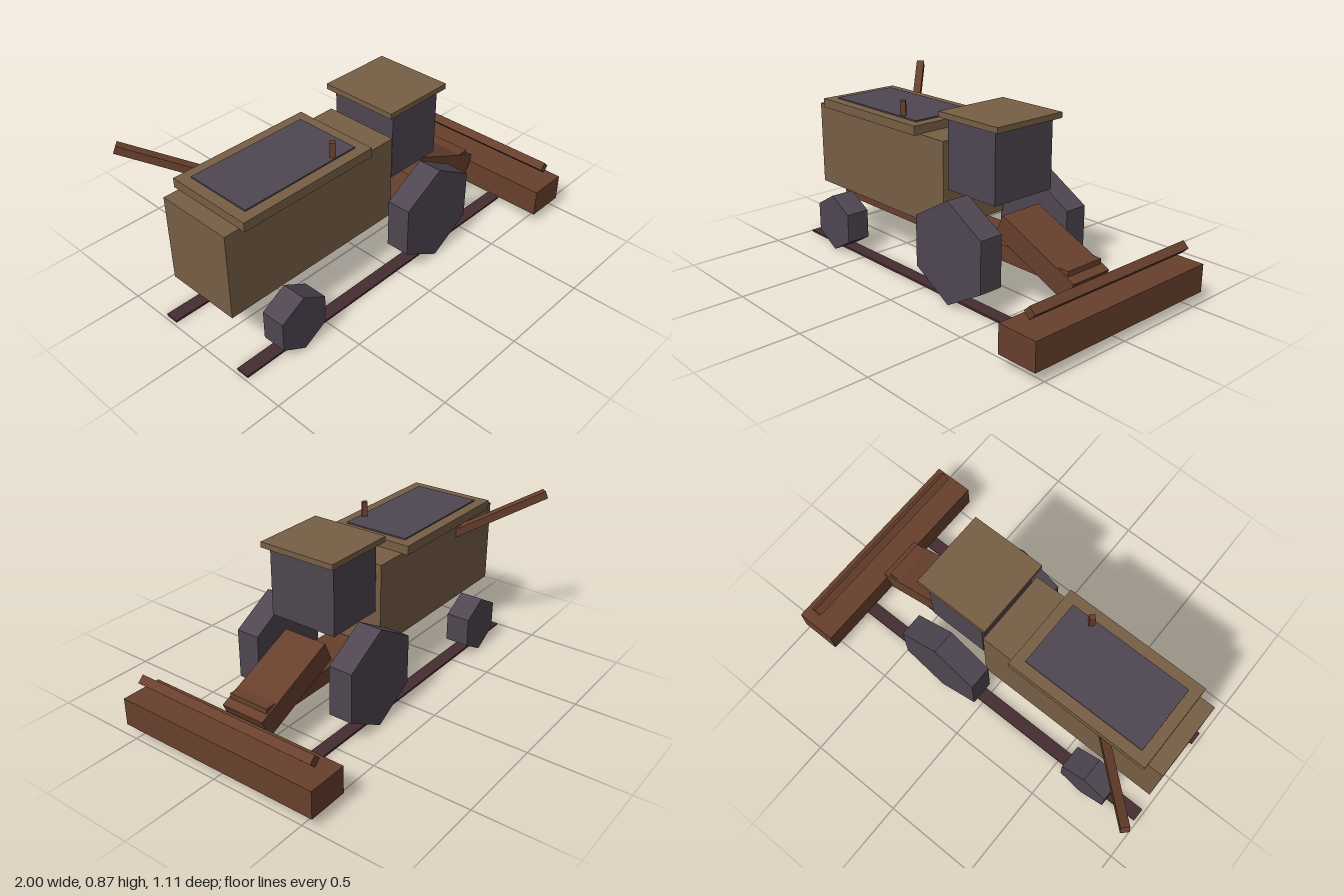
import * as THREE from 'three';

const material = (name, color) => {
  const m = new THREE.MeshStandardMaterial({ color, flatShading: true });
  m.name = name;
  return m;
};

export function createModel() {
  const tan = material('tan', 0x775f45);
  const slate = material('slate', 0x4f4651);
  const rust = material('rust', 0x68402d);
  const darkRail = material('dark rail', 0x462d31);
  const model = new THREE.Group();
  model.name = 'tractor';

  const add = (name, geometry, mat) => {
    const mesh = new THREE.Mesh(geometry, mat);
    mesh.name = name;
    model.add(mesh);
    return mesh;
  };
  // Box given by its extents in x and y and its half width in z
  const box = (name, mat, x0, x1, y0, y1, halfZ, z = 0) => {
    const mesh = add(name, new THREE.BoxGeometry(x1 - x0, y1 - y0, halfZ * 2), mat);
    mesh.position.set((x0 + x1) / 2, (y0 + y1) / 2, z);
    return mesh;
  };
  // Four-sided rod between two points
  const rod = (name, mat, from, to, radius) => {
    const a = new THREE.Vector3(...from), b = new THREE.Vector3(...to);
    const d = b.clone().sub(a);
    const mesh = add(name, new THREE.CylinderGeometry(radius, radius, d.length(), 4), mat);
    mesh.position.copy(a).add(b).multiplyScalar(0.5);
    mesh.quaternion.setFromUnitVectors(new THREE.Vector3(0, 1, 0), d.normalize());
    return mesh;
  };

  // Hull with its lid and top panel
  box('body', tan, -0.97, 0.04, 0.288, 0.727, 0.198);
  box('lid', tan, -0.89, -0.133, 0.724, 0.771, 0.229);
  box('topPanel', slate, -0.835, -0.187, 0.771, 0.778, 0.175);

  // Cab and overhanging roof
  box('cab', slate, 0.06, 0.375, 0.492, 0.842, 0.183);
  box('roof', tan, 0.02, 0.412, 0.842, 0.87, 0.206);

  // Chassis and sloping arm
  box('chassis', rust, -0.9, 0.76, 0.2, 0.28, 0.108);
  const arm = add('arm', new THREE.BoxGeometry(0.482, 0.113, 0.236), rust);
  arm.position.set(0.558, 0.281, 0);
  arm.rotation.z = -0.415;

  // Blade and the bar above it
  box('blade', rust, 0.79, 1, 0.058, 0.199, 0.555);
  rod('bladeBar', rust, [0.915, 0.274, -0.507], [0.915, 0.274, 0.507], 0.031);

  // Lever and pin
  rod('lever', rust, [-0.55, 0.617, -0.1], [-0.98, 0.845, -0.508], 0.029);
  rod('pin', rust, [-0.307, 0.76, 0.155], [-0.307, 0.853, 0.155], 0.019);

  // Hexagonal wheels and ground rails on both sides
  for (const side of [1, -1]) {
    const label = side > 0 ? 'left' : 'right';
    for (const [name, x, y, r] of [['SmallWheel', -0.685, 0.154, 0.15], ['LargeWheel', 0.231, 0.262, 0.258]]) {
      const wheel = add(label + name, new THREE.CylinderGeometry(r, r, 0.126, 6).rotateX(Math.PI / 2), slate);
      wheel.position.set(x, y, side * 0.278);
    }
    box(label + 'Rail', darkRail, -0.985, 0.848, 0, 0.011, 0.035, side * 0.252);
  }
  return model;
}
